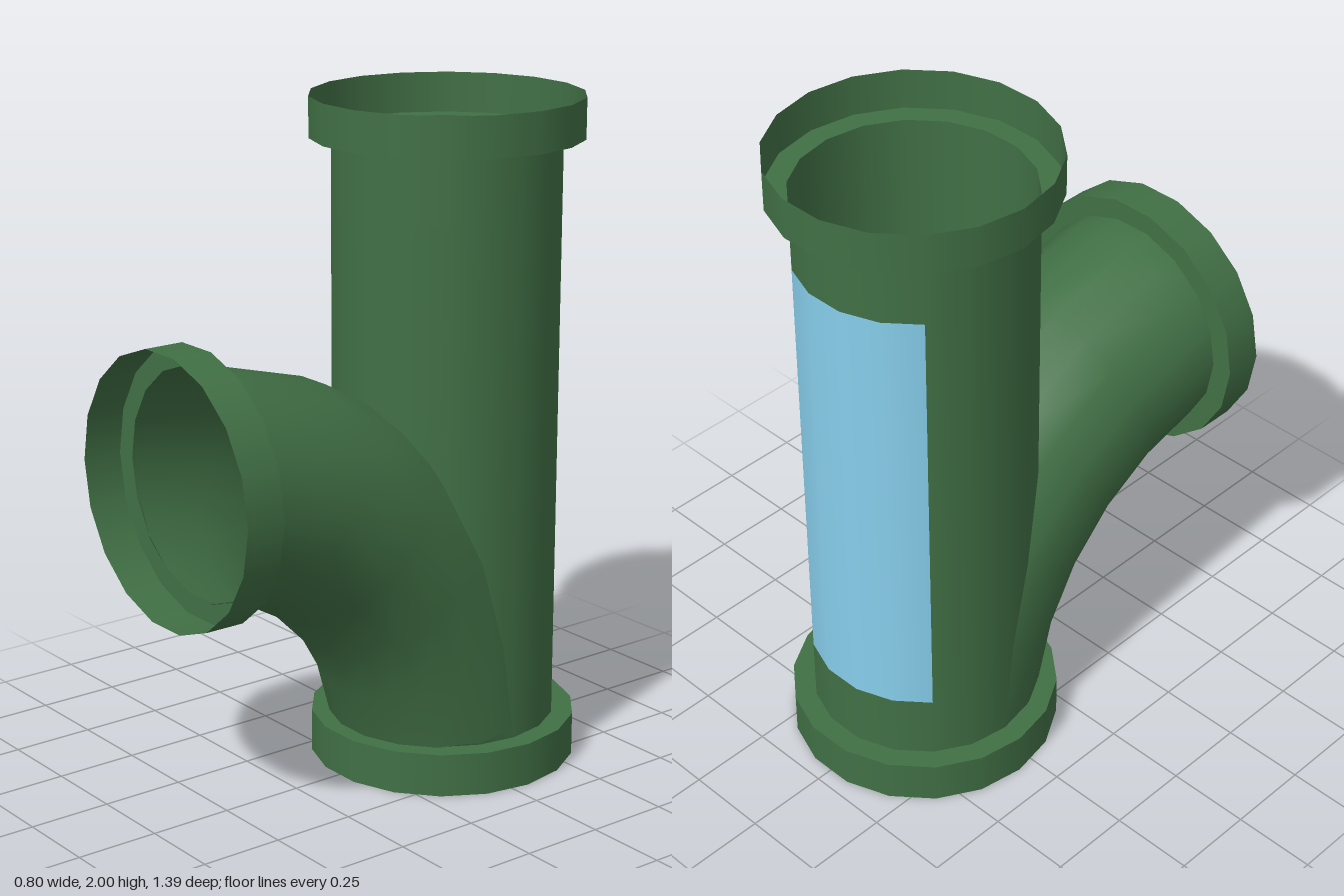
import * as THREE from 'three';

const SIDES = 18, R = 0.336, COLLAR_R = 0.4, AXIS_Z = -0.305;
const green = new THREE.MeshStandardMaterial({ color: 0x417045, side: THREE.DoubleSide });
const blue = new THREE.MeshStandardMaterial({ color: 0x87ceeb, side: THREE.DoubleSide });

function addMesh(parent, name, geometry, material = green) {
  const mesh = new THREE.Mesh(geometry, material);
  mesh.name = name;
  parent.add(mesh);
  return mesh;
}

// Open wall of the upright pipe between two heights, over a range of its sides
function pipeWall(parent, name, y0, y1, firstSide, sides, material) {
  const step = (Math.PI * 2) / SIDES;
  const geo = new THREE.CylinderGeometry(R, R, y1 - y0, sides, 1, true,
    Math.PI / 2 + firstSide * step, sides * step);
  addMesh(parent, name, geo, material).position.set(0, (y0 + y1) / 2, AXIS_Z);
}

// Socket: thin wall rising from a flat ledge at its local y = 0
function collar(name, depth) {
  const group = new THREE.Group();
  group.name = name;
  const wall = new THREE.CylinderGeometry(COLLAR_R, COLLAR_R, depth, SIDES, 1, true, Math.PI / 2);
  addMesh(group, name + 'Wall', wall.translate(0, depth / 2, 0));
  const ledge = new THREE.RingGeometry(R, COLLAR_R, SIDES, 1);
  addMesh(group, name + 'Ledge', ledge.rotateX(-Math.PI / 2));
  return group;
}

// Curved branch swept through a quarter turn, trimmed flat at both sockets
function elbowGeometry() {
  const bend = 0.975, cy = 0.027, cz = 0.677, endZ = 0.575, endY = 0.13;
  const rings = [{ tilt: 0, y: 1.0, z: endZ }];
  for (let d = 7.5; d < 90; d += 15) {
    const tilt = THREE.MathUtils.degToRad(d);
    rings.push({ tilt, y: cy + bend * Math.cos(tilt), z: cz - bend * Math.sin(tilt) });
  }
  rings.push({ tilt: Math.PI / 2, y: endY, z: AXIS_Z + 0.003 });

  const positions = [], index = [];
  rings.forEach((ring, i) => {
    for (let j = 0; j < SIDES; j++) {
      const phi = (j / SIDES) * Math.PI * 2;
      const out = R * Math.sin(phi);
      positions.push(
        R * Math.cos(phi),
        Math.max(endY, ring.y + out * Math.cos(ring.tilt)),
        Math.min(endZ, ring.z - out * Math.sin(ring.tilt)));
      if (i === rings.length - 1) continue;
      const a = i * SIDES + j, b = i * SIDES + ((j + 1) % SIDES);
      index.push(a, a + SIDES, b, b, a + SIDES, b + SIDES);
    }
  });
  const geo = new THREE.BufferGeometry();
  geo.setAttribute('position', new THREE.Float32BufferAttribute(positions, 3));
  geo.setIndex(index);
  geo.computeVertexNormals();
  return geo;
}

export function createModel() {
  const model = new THREE.Group();
  model.name = 'pipeJunction';

  // Upright pipe, with a coloured label panel set into its back
  const pipe = new THREE.Group();
  pipe.name = 'mainPipe';
  pipeWall(pipe, 'lowerPipe', 0.13, 0.33, 0, SIDES, green);
  pipeWall(pipe, 'upperPipe', 1.68, 1.88, 0, SIDES, green);
  pipeWall(pipe, 'backPanel', 0.33, 1.68, 2, 5, blue);
  pipeWall(pipe, 'middlePipe', 0.33, 1.68, 7, SIDES - 5, green);
  model.add(pipe);

  // Branch elbow
  addMesh(model, 'branchElbow', elbowGeometry());

  // Sockets at the three openings
  const top = collar('topCollar', 0.12);
  top.position.set(0, 1.88, AXIS_Z);
  const bottom = collar('bottomCollar', 0.13);
  bottom.position.set(0, 0.13, AXIS_Z);
  bottom.rotation.x = Math.PI;
  const branch = collar('branchCollar', 0.12);
  branch.position.set(0, 1.0, 0.575);
  branch.rotation.x = Math.PI / 2;
  model.add(top, bottom, branch);

  return model;
}
